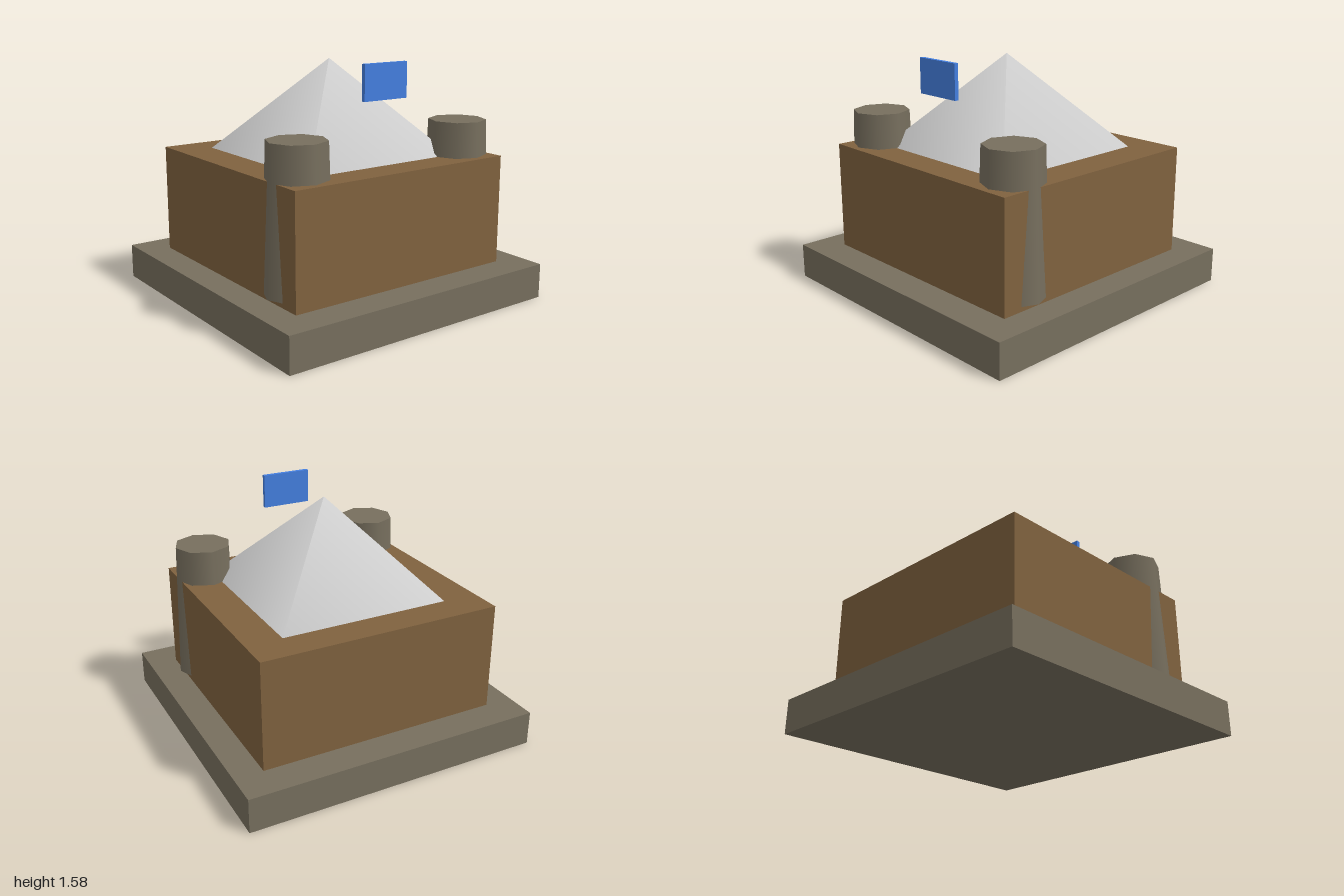
import * as THREE from 'three';

export function createModel() {
  const model = new THREE.Group();
  const material = (color) => new THREE.MeshStandardMaterial({ color });
  const stone = material(0x776f5e);
  const brick = material(0x80623f);
  const grey = material(0xcccccc);
  const blue = material(0x447fe0);

  const add = (name, geometry, mat, x, y, z) => {
    const mesh = new THREE.Mesh(geometry, mat);
    mesh.name = name;
    mesh.position.set(x, y, z);
    model.add(mesh);
    return mesh;
  };

  // Stone plinth and main hall
  add('base', new THREE.BoxGeometry(2, 0.23, 2), stone, 0, 0.115, 0);
  add('hall', new THREE.BoxGeometry(1.62, 0.72, 1.57), brick, 0, 0.59, 0);

  // Four-sided pyramid roof, turned square to the walls
  const roof = new THREE.ConeGeometry(0.57 * Math.SQRT2, 0.62, 4);
  add('roof', roof, grey, 0, 1.26, 0).rotation.y = Math.PI / 4;

  // Tapered eight-sided towers sunk into the front corners
  for (const [name, side] of [['leftTower', 1], ['rightTower', -1]]) {
    const tower = new THREE.CylinderGeometry(0.187, 0.217, 0.92, 8);
    add(name, tower, stone, side * 0.635, 0.72, 0.55);
  }

  // Floating banner in front of the roof
  add('banner', new THREE.BoxGeometry(0.33, 0.225, 0.027), blue, 0, 1.472, 0.567);

  return model;
}
